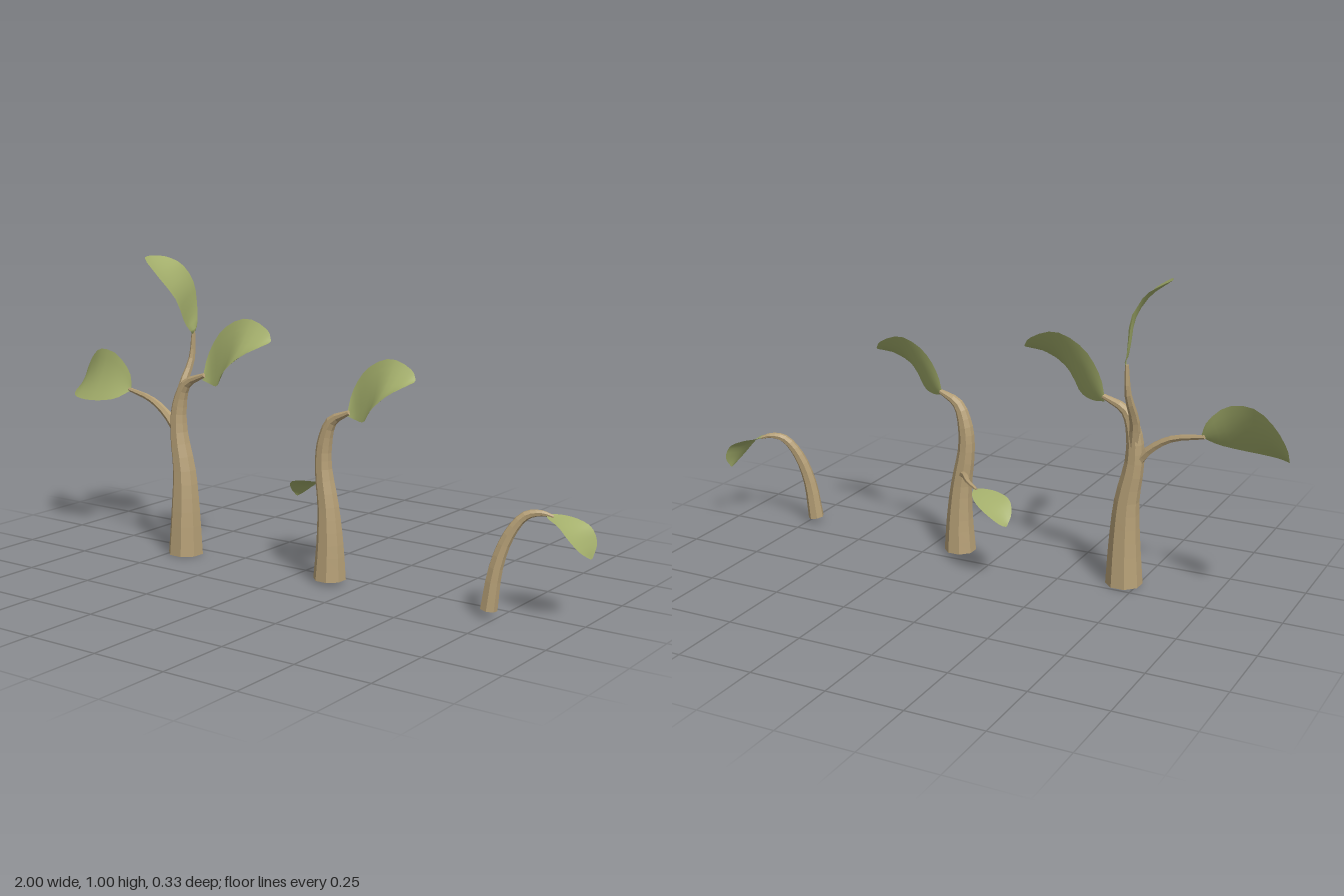
import * as THREE from 'three';

const bark = new THREE.MeshStandardMaterial({ color: 0xb59f76, flatShading: true });
bark.name = 'bark tan';
const green = new THREE.MeshStandardMaterial({ color: 0xa3ae6b, side: THREE.DoubleSide });
green.name = 'leaf green';

const curveOf = (pts) => new THREE.CatmullRomCurve3(pts.map((p) => new THREE.Vector3(p[0], p[1], p[2])));

// Grid of points (rows of equal length) to an indexed geometry
function gridGeometry(rows) {
  const n = rows[0].length;
  const index = [];
  for (let i = 0; i < rows.length - 1; i++) {
    for (let j = 0; j < n - 1; j++) {
      const a = i * n + j, b = a + 1, c = a + n, d = c + 1;
      index.push(a, b, c, b, d, c);
    }
  }
  const geo = new THREE.BufferGeometry().setFromPoints(rows.flat());
  geo.setIndex(index);
  geo.computeVertexNormals();
  return geo;
}

// Tapered, capped stem; each point is [x, y, z, radius]
function stem(name, pts, sides = 8) {
  const curve = curveOf(pts);
  const steps = (pts.length - 1) * 3;
  const dir = new THREE.Vector3(), side = new THREE.Vector3(1, 0, 0), up = new THREE.Vector3();
  const rows = [];
  for (let i = 0; i <= steps; i++) {
    const t = i / steps;
    const c = curve.getPoint(t);
    curve.getTangent(t, dir);
    if (i === 0 && Math.abs(dir.x) > 0.8) side.set(0, 0, 1);
    side.addScaledVector(dir, -side.dot(dir)).normalize();
    up.crossVectors(dir, side);
    const k = Math.min(Math.floor(i / 3), pts.length - 2);
    const r = THREE.MathUtils.lerp(pts[k][3], pts[k + 1][3], i / 3 - k);
    const ring = [];
    for (let j = 0; j <= sides; j++) {
      const a = ((j + 0.5) / sides) * Math.PI * 2;
      ring.push(c.clone().addScaledVector(side, r * Math.cos(a)).addScaledVector(up, r * Math.sin(a)));
    }
    if (i === 0) rows.push(ring.map(() => c.clone()));
    rows.push(ring);
    if (i === steps) rows.push(ring.map(() => c.clone()));
  }
  const mesh = new THREE.Mesh(gridGeometry(rows), bark);
  mesh.name = name;
  return mesh;
}

// Leaf blade spanned between two edge curves, slightly cupped
function leaf(name, edgeA, edgeB, cup = 0.06) {
  const ca = curveOf(edgeA), cb = curveOf(edgeB);
  const rows = [];
  const R = 14, C = 6;
  for (let i = 0; i <= R; i++) {
    const t = 0.005 + (0.99 * i) / R;
    const a = ca.getPoint(t), b = cb.getPoint(t);
    const across = b.clone().sub(a);
    const along = ca.getTangent(t).add(cb.getTangent(t));
    const n = across.clone().cross(along).normalize();
    if (n.y < 0) n.negate();
    const row = [];
    for (let j = 0; j <= C; j++) {
      const s = j / C;
      row.push(a.clone().addScaledVector(across, s).addScaledVector(n, -cup * across.length() * 4 * s * (1 - s)));
    }
    rows.push(row);
  }
  const mesh = new THREE.Mesh(gridGeometry(rows), green);
  mesh.name = name;
  return mesh;
}

// Large leaf that crowns a trunk, relative to its base
const CROWN_UPPER = [[0, 0, 0], [0.01, 0.08, -0.02], [0.064, 0.165, -0.03], [0.16, 0.208, -0.033], [0.25, 0.175, -0.03], [0.273, 0.145, -0.015]];
const CROWN_LOWER = [[0, -0.005, 0], [0.045, -0.012, 0.015], [0.11, -0.005, 0.06], [0.165, 0.048, 0.1], [0.22, 0.1, 0.085], [0.273, 0.14, -0.005]];
function crownLeaf(x, y, z, scale) {
  const mesh = leaf('crownLeaf', CROWN_UPPER, CROWN_LOWER);
  mesh.position.set(x, y, z);
  mesh.scale.setScalar(scale);
  return mesh;
}

function group(name, ...parts) {
  const g = new THREE.Group();
  g.name = name;
  g.add(...parts);
  return g;
}

export function createModel() {
  // Tall sapling with three leaves
  const tall = group('tallSapling',
    stem('trunk', [[-0.455, 0.005, 0.065, 0.06], [-0.453, 0.155, 0.065, 0.05], [-0.458, 0.29, 0.063, 0.04],
      [-0.48, 0.42, 0.062, 0.031], [-0.478, 0.51, 0.06, 0.026], [-0.448, 0.585, 0.06, 0.017], [-0.37, 0.622, 0.06, 0.008]]),
    stem('sideBranch', [[-0.475, 0.4, 0.06, 0.018], [-0.525, 0.465, 0.06, 0.015], [-0.6, 0.515, 0.058, 0.011], [-0.71, 0.54, 0.05, 0.007]], 6),
    stem('upperBranch', [[-0.478, 0.47, 0.055, 0.02], [-0.488, 0.56, 0.035, 0.016], [-0.482, 0.66, -0.012, 0.011], [-0.478, 0.755, -0.018, 0.006]], 6),
    crownLeaf(-0.377, 0.61, 0.06, 1),
    leaf('sideLeaf',
      [[-0.7, 0.545, 0.05], [-0.72, 0.594, 0.035], [-0.783, 0.652, 0.03], [-0.87, 0.663, 0.012], [-0.95, 0.626, -0.028], [-0.995, 0.567, -0.042], [-1, 0.535, -0.035]],
      [[-0.7, 0.538, 0.052], [-0.74, 0.511, 0.085], [-0.8, 0.499, 0.1], [-0.87, 0.495, 0.1], [-0.935, 0.497, 0.08], [-0.98, 0.505, 0.035], [-1, 0.53, -0.03]]),
    leaf('topLeaf',
      [[-0.478, 0.742, -0.02], [-0.485, 0.77, -0.047], [-0.5, 0.84, -0.065], [-0.508, 0.915, -0.057], [-0.53, 0.975, -0.022], [-0.565, 1.0, 0.015], [-0.58, 1.007, 0.07]],
      [[-0.476, 0.742, -0.012], [-0.46, 0.76, 0.023], [-0.445, 0.79, 0.065], [-0.435, 0.875, 0.122], [-0.485, 0.95, 0.152], [-0.56, 1.002, 0.128], [-0.58, 1.007, 0.08]]));

  // Middle sapling with a crown leaf and a small back leaf
  const middle = group('middleSapling',
    stem('trunk', [[0.136, 0.015, 0.06, 0.053], [0.137, 0.13, 0.06, 0.044], [0.13, 0.25, 0.06, 0.035],
      [0.112, 0.37, 0.06, 0.028], [0.115, 0.45, 0.06, 0.025], [0.142, 0.525, 0.06, 0.018], [0.208, 0.56, 0.06, 0.008]]),
    stem('backBranch', [[0.122, 0.29, 0.045, 0.012], [0.095, 0.298, 0.015, 0.01], [0.06, 0.297, -0.03, 0.008], [0.01, 0.289, -0.065, 0.005]], 6),
    crownLeaf(0.2, 0.553, 0.06, 0.88),
    leaf('backLeaf',
      [[0.02, 0.29, -0.064], [0.005, 0.287, -0.107], [-0.03, 0.275, -0.148], [-0.08, 0.25, -0.166], [-0.122, 0.217, -0.15], [-0.132, 0.21, -0.135]],
      [[0.018, 0.29, -0.058], [-0.012, 0.291, -0.051], [-0.055, 0.288, -0.049], [-0.107, 0.274, -0.064], [-0.132, 0.24, -0.1], [-0.132, 0.212, -0.13]]));

  // Small drooping sprout with one leaf
  const small = group('smallSprout',
    stem('sproutStem', [[0.72, 0.025, 0.075, 0.027], [0.737, 0.155, 0.068, 0.022], [0.768, 0.255, 0.05, 0.018],
      [0.81, 0.315, 0.028, 0.014], [0.855, 0.325, 0.01, 0.009], [0.885, 0.316, -0.003, 0.005]], 7),
    leaf('sproutLeaf',
      [[0.865, 0.322, -0.002], [0.89, 0.318, -0.033], [0.93, 0.31, -0.052], [0.977, 0.287, -0.064], [0.997, 0.243, -0.064], [0.998, 0.2, -0.033]],
      [[0.865, 0.322, 0.005], [0.885, 0.316, 0.03], [0.925, 0.302, 0.046], [0.957, 0.272, 0.05], [0.985, 0.232, 0.028], [0.998, 0.2, -0.025]]));

  return group('saplings', tall, middle, small);
}
